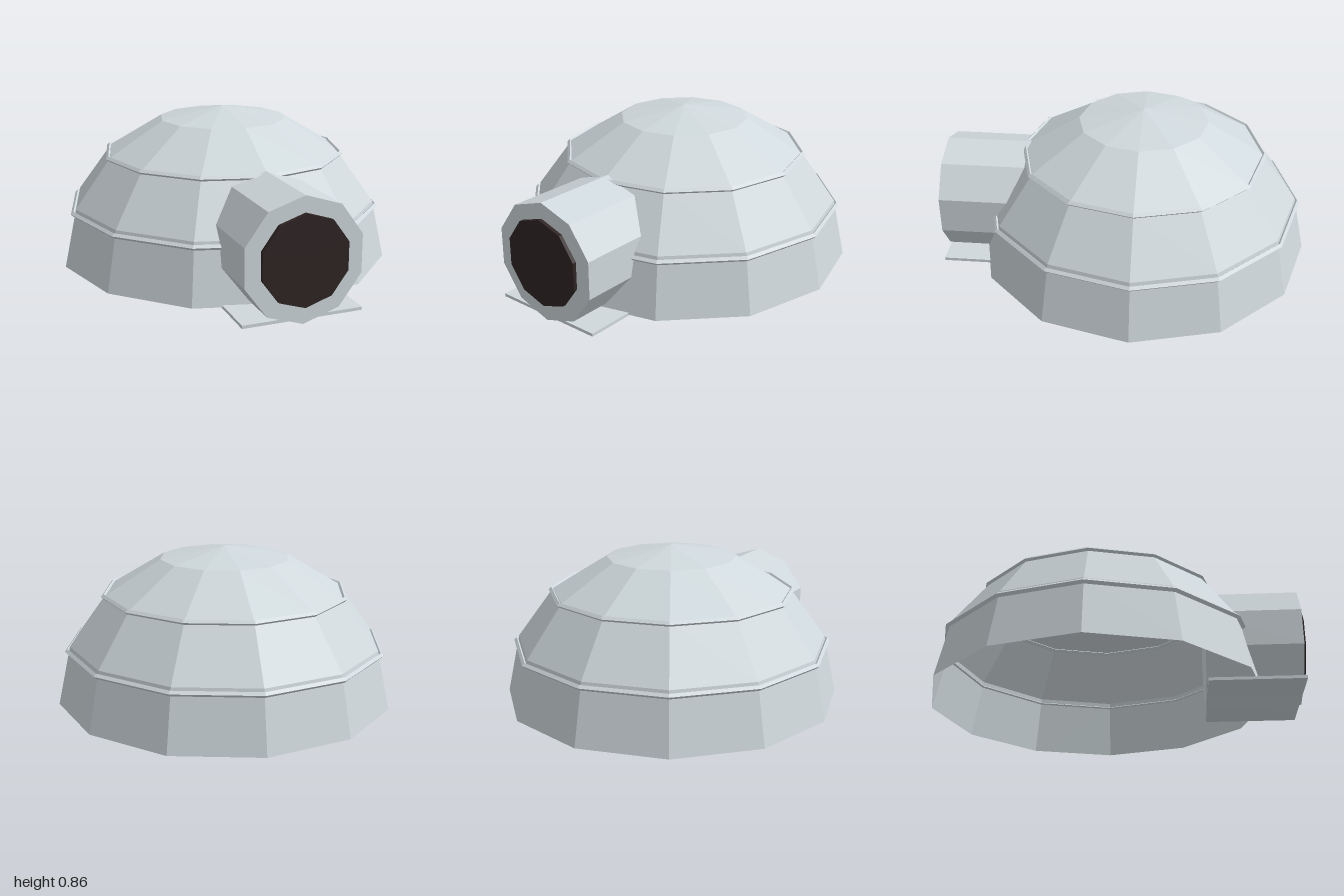
import * as THREE from 'three';

// Split the faces apart so every facet is shaded flat
function faceted(geometry) {
  const g = geometry.toNonIndexed();
  g.computeVertexNormals();
  return g;
}

export function createModel() {
  const group = new THREE.Group();
  const snow = new THREE.MeshStandardMaterial({ color: 0xcfd8dc, side: THREE.DoubleSide });
  snow.name = 'snow';
  const dark = new THREE.MeshStandardMaterial({ color: 0x2f2424 });
  dark.name = 'dark opening';

  const add = (name, geometry, material, x, y, z) => {
    const mesh = new THREE.Mesh(faceted(geometry), material);
    mesh.name = name;
    mesh.position.set(x, y, z);
    group.add(mesh);
  };

  const domeZ = -0.095;

  // Open half dome, slightly flattened
  const dome = new THREE.SphereGeometry(0.905, 12, 4, 0, Math.PI * 2, 0, Math.PI / 2);
  dome.scale(1, 0.912, 1);
  add('dome', dome, snow, 0, 0.03, domeZ);

  // Thin ridges between the block courses
  for (const [name, radius, y] of [['lowerRing', 0.85, 0.32], ['upperRing', 0.65, 0.607]]) {
    const ring = new THREE.TorusGeometry(radius, 0.014, 4, 12);
    ring.rotateX(Math.PI / 2);
    add(name, ring, snow, 0, y, domeZ);
  }

  // Ten-sided entrance tunnel and its dark opening
  const tunnel = new THREE.CylinderGeometry(0.315, 0.315, 0.5, 10);
  tunnel.rotateX(Math.PI / 2);
  add('entranceTunnel', tunnel, snow, 0, 0.315, 0.73);

  const opening = new THREE.CylinderGeometry(0.23, 0.23, 0.02, 10);
  opening.rotateX(Math.PI / 2);
  add('entranceOpening', opening, dark, 0, 0.318, 0.99);

  // Flat slab under the entrance
  add('entranceSlab', new THREE.BoxGeometry(0.62, 0.016, 0.494), snow, 0, 0.032, 0.733);

  return group;
}
